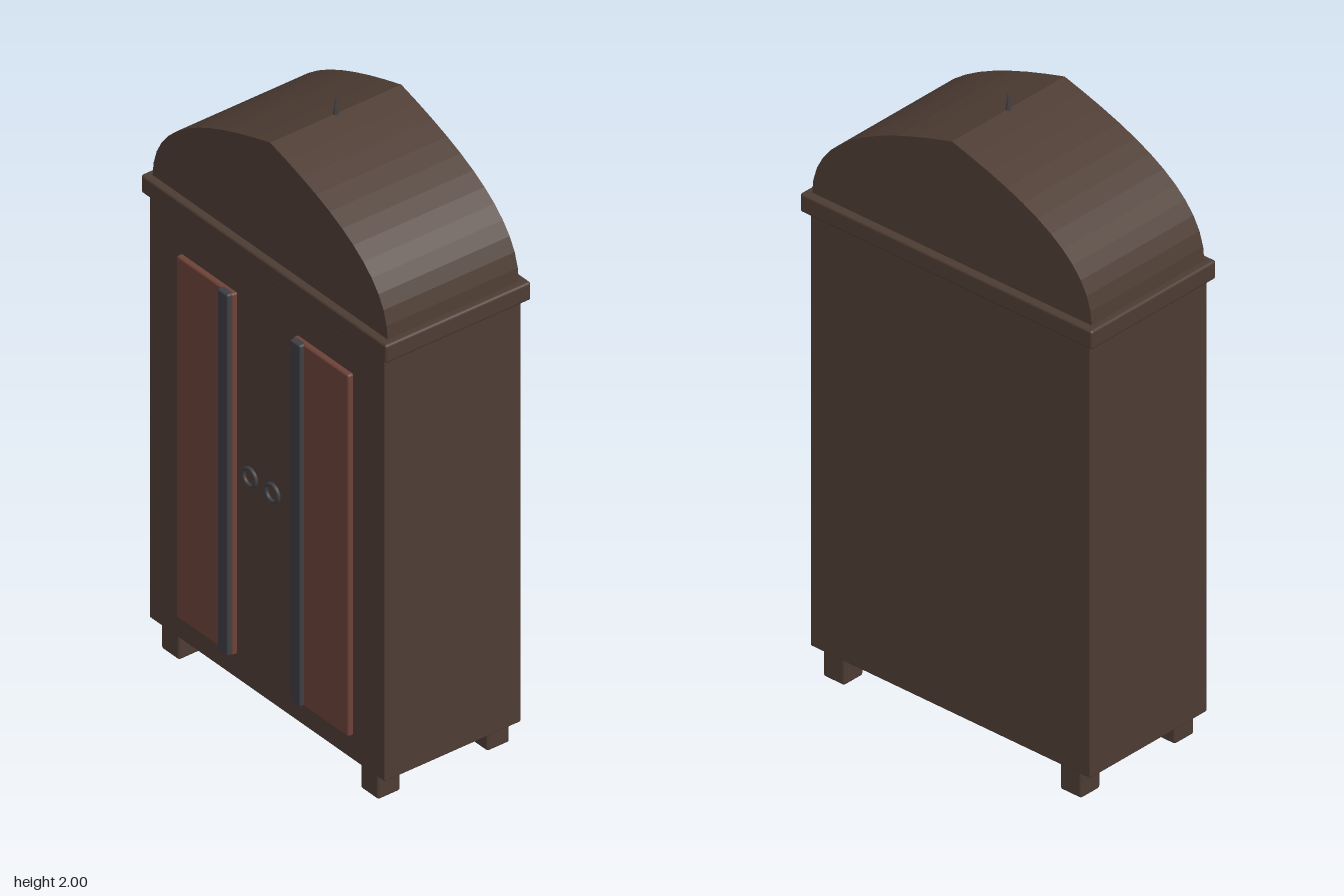
import * as THREE from 'three';
import { RoundedBoxGeometry } from 'three/addons/geometries/RoundedBoxGeometry.js';

const wood = new THREE.MeshStandardMaterial({ color: 0x4d3c33 });
const redWood = new THREE.MeshStandardMaterial({ color: 0x6c4238 });
const iron = new THREE.MeshStandardMaterial({ color: 0x3e3e44 });

const CENTER_Z = -0.008;

export function createModel() {
  const model = new THREE.Group();
  model.name = 'wardrobe';

  const add = (name, geometry, material, x, y, z) => {
    const mesh = new THREE.Mesh(geometry, material);
    mesh.name = name;
    mesh.position.set(x, y, z);
    model.add(mesh);
    return mesh;
  };

  // Box given by its size, its bottom height and a small edge radius
  const addBox = (name, material, [w, h, d], x, bottom, z, radius) =>
    add(name, new RoundedBoxGeometry(w, h, d, 2, radius), material, x, bottom + h / 2, z);

  // Cabinet and cornice
  addBox('cabinetBody', wood, [1.046, 1.412, 0.482], 0, 0.086, -0.006, 0.004);
  addBox('cornice', wood, [1.092, 0.06, 0.514], 0, 1.496, -0.009, 0.008);

  // Ogee-pointed roof, a mirrored curve pushed through the depth
  const roof = new THREE.Shape();
  roof.moveTo(-0.523, 1.55);
  roof.bezierCurveTo(-0.523, 1.755, -0.29, 1.858, 0, 1.938);
  roof.bezierCurveTo(0.29, 1.858, 0.523, 1.755, 0.523, 1.55);
  roof.closePath();
  const roofDepth = 0.464;
  const roofGeometry = new THREE.ExtrudeGeometry(roof, {
    depth: roofDepth, bevelEnabled: false, curveSegments: 12,
  });
  add('archedRoof', roofGeometry, wood, 0, 0, CENTER_Z - roofDepth / 2);

  // Finial spike on the ridge
  add('finial', new THREE.ConeGeometry(0.009, 0.075, 12), iron, 0, 1.9625, CENTER_Z);

  for (const side of [-1, 1]) {
    const label = side > 0 ? 'left' : 'right';

    // Door panel with an iron strip along its inner edge
    addBox(label + 'DoorPanel', redWood, [0.25, 1.206, 0.03], side * 0.258, 0.167, 0.237, 0.007);
    addBox(label + 'DoorStrip', iron, [0.048, 1.206, 0.04], side * 0.161, 0.167, 0.245, 0.007);

    // Ring handle
    add(label + 'RingHandle', new THREE.TorusGeometry(0.0275, 0.006, 10, 28), iron,
      side * 0.05, 0.81, 0.256);

    // Feet
    addBox(label + 'FrontFoot', wood, [0.08, 0.09, 0.08], side * 0.443, 0, 0.186, 0.008);
    addBox(label + 'BackFoot', wood, [0.08, 0.09, 0.08], side * 0.443, 0, -0.2, 0.008);
  }

  return model;
}
